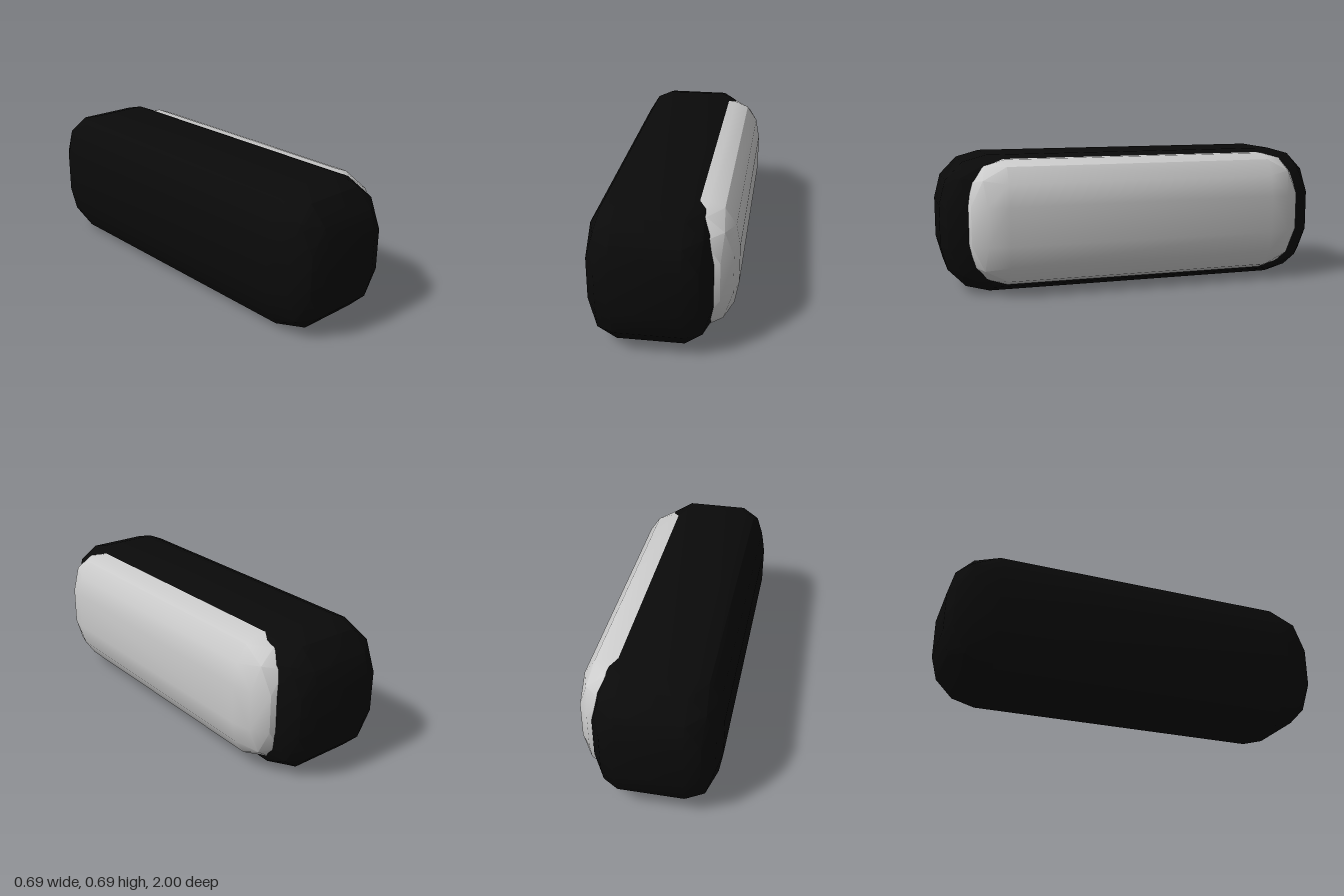
import * as THREE from 'three';
import { ConvexGeometry } from 'three/addons/geometries/ConvexGeometry.js';
import { toCreasedNormals } from 'three/addons/utils/BufferGeometryUtils.js';

const STEPS = 3; // bevel segments per quarter turn

// Box with ellipsoidal bevels: half = half size, bevel = bevel depth, per axis
function bevelledBox(half, bevel) {
  const core = half.clone().sub(bevel);
  const weight = (i) => Math.sin((Math.PI / 2) * (i / STEPS));
  const points = [];
  for (const sx of [-1, 1]) for (const sy of [-1, 1]) for (const sz of [-1, 1]) {
    for (let i = 0; i <= STEPS; i++) for (let j = 0; j <= STEPS - i; j++) {
      const p = new THREE.Vector3(weight(i), weight(j), weight(STEPS - i - j));
      p.normalize().multiply(bevel).add(core);
      points.push(p.multiply(new THREE.Vector3(sx, sy, sz)));
    }
  }
  return toCreasedNormals(new ConvexGeometry(points), Math.PI / 6);
}

function addPart(group, name, half, bevel, position, color) {
  const geometry = bevelledBox(new THREE.Vector3(...half), new THREE.Vector3(...bevel));
  const mesh = new THREE.Mesh(geometry, new THREE.MeshStandardMaterial({ color }));
  mesh.name = name;
  mesh.position.set(...position);
  group.add(mesh);
}

export function createModel() {
  const group = new THREE.Group();
  group.name = 'bevelledBlock';
  // dark outer shell
  addPart(group, 'shell', [0.305, 0.343, 1], [0.147, 0.241, 0.235], [-0.042, 0.343, 0], 0x0a0a0a);
  // pale inner block, standing proud of the shell on the left side
  addPart(group, 'facePanel', [0.305, 0.311, 0.89], [0.146, 0.216, 0.203], [0.04, 0.356, 0], 0xcccccc);
  return group;
}
